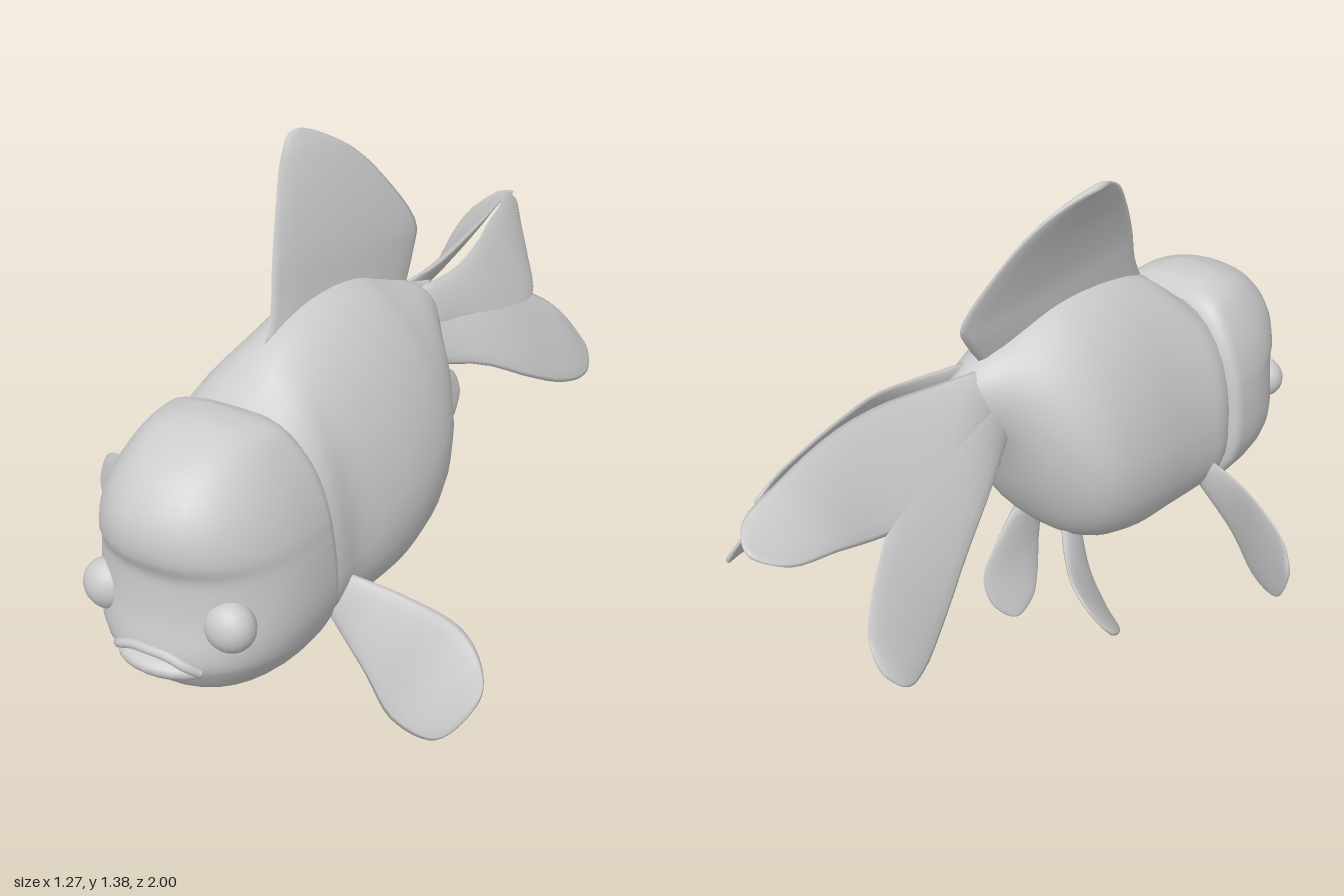
import * as THREE from 'three';

const V = ([x, y, z]) => new THREE.Vector3(x, y, z);
const curve = (pts) => new THREE.CatmullRomCurve3(pts.map(V), false, 'centripetal');
const material = new THREE.MeshStandardMaterial({ color: 0xcccccc });

function mesh(name, geometry) {
  const m = new THREE.Mesh(geometry, material);
  m.name = name;
  return m;
}

// Skin closed rings of equal length, cap both ends, and face everything outwards
function loft(rings) {
  const n = rings[0].length, pts = rings.flat(), index = [];
  for (let i = 0; i < rings.length - 1; i++) {
    for (let j = 0; j < n; j++) {
      const a = i * n + j, b = i * n + (j + 1) % n;
      index.push(a, b, b + n, a, b + n, a + n);
    }
  }
  [0, rings.length - 1].forEach((r, end) => {
    const centre = rings[r].reduce((s, p) => s.add(p), new THREE.Vector3()).divideScalar(n);
    const c = pts.push(centre) - 1;
    for (let j = 0; j < n; j++) {
      const a = r * n + j, b = r * n + (j + 1) % n;
      index.push(c, ...(end ? [a, b] : [b, a]));
    }
  });
  const mid = pts[pts.length - 1];
  let volume = 0;
  for (let i = 0; i < index.length; i += 3) {
    const [a, b, c] = [0, 1, 2].map((k) => pts[index[i + k]].clone().sub(mid));
    volume += a.dot(b.cross(c));
  }
  if (volume < 0) index.reverse();
  const g = new THREE.BufferGeometry().setFromPoints(pts);
  g.setIndex(index);
  g.computeVertexNormals();
  return g;
}

// Thin lens-shaped fin. Both edges run root to tip and join there in one round outline
function fin(name, lead, trail, thick = 0.012, steps = 26, across = 8) {
  const outline = curve([...lead, ...trail.slice(0, -1).reverse()]), rings = [];
  const A = (t) => outline.getPoint(t / 2), B = (t) => outline.getPoint(1 - t / 2);
  const centre = (t) => A(t).add(B(t));
  for (let i = 0; i <= steps; i++) {
    const t = 1 - (1 - i / steps) ** 1.8;
    const a = A(t), b = B(t), ring = [];
    const along = centre(Math.min(1, t + 0.02)).sub(centre(Math.max(0, t - 0.02)));
    const normal = b.clone().sub(a).cross(along).normalize();
    const half = Math.min(thick * (1.6 - t), a.distanceTo(b) * 0.2);
    for (let j = 0; j < across * 2; j++) {
      const angle = (j / across) * Math.PI;
      ring.push(a.clone().lerp(b, 0.5 - 0.5 * Math.cos(angle))
        .addScaledVector(normal, half * Math.sin(angle)));
    }
    rings.push(ring);
  }
  return mesh(name, loft(rings));
}

// Smoothly resample a table of section parameters
function resample(rows, count) {
  const cols = rows[0].map((_, k) => new THREE.SplineCurve(rows.map((r, q) => new THREE.Vector2(q, r[k]))));
  return Array.from({ length: count }, (_, i) => cols.map((c) => c.getPoint(i / (count - 1)).y));
}

const power = (v, n) => Math.sign(v) * Math.abs(v) ** (2 / n);

// Body sections: z, centre x, widest y, half width, top, bottom, roundness of the back
function bodyGeometry() {
  const rows = [
    [0.64, 0.02, 0.45, 0.23, 0.82, 0.23, 2.3], [0.56, 0.02, 0.45, 0.265, 0.87, 0.205, 2.3],
    [0.48, 0.025, 0.46, 0.27, 0.945, 0.2, 1.9], [0.38, 0.04, 0.48, 0.285, 0.995, 0.2, 1.7],
    [0.25, 0.05, 0.51, 0.3, 1.02, 0.21, 1.65], [0.12, 0.055, 0.55, 0.295, 1.015, 0.25, 1.65],
    [0.03, 0.06, 0.6, 0.265, 0.985, 0.33, 1.7], [-0.04, 0.075, 0.68, 0.205, 0.955, 0.46, 1.8],
    [-0.09, 0.09, 0.76, 0.14, 0.935, 0.6, 1.9], [-0.13, 0.1, 0.8, 0.1, 0.915, 0.68, 2],
    [-0.18, 0.105, 0.81, 0.06, 0.895, 0.71, 2], [-0.24, 0.11, 0.82, 0.02, 0.88, 0.76, 2],
  ];
  return loft(resample(rows, 34).map(([z, cx, cy, w, top, bottom, back]) =>
    Array.from({ length: 32 }, (_, j) => {
      const a = (j / 32) * Math.PI * 2, s = Math.sin(a), n = s > 0 ? back : 2.2;
      return V([cx + w * power(Math.cos(a), n), cy + (s > 0 ? top - cy : cy - bottom) * power(s, n), z]);
    })));
}

// Head sections: y, front z, half width, back z
function headGeometry() {
  const rows = [
    [0.204, 0.7, 0.07, 0.57], [0.215, 0.79, 0.125, 0.56], [0.24, 0.86, 0.175, 0.56],
    [0.28, 0.92, 0.222, 0.56], [0.34, 0.96, 0.26, 0.56], [0.375, 0.972, 0.273, 0.56],
    [0.42, 0.968, 0.283, 0.56], [0.48, 0.956, 0.285, 0.56], [0.56, 0.95, 0.278, 0.56],
    [0.6, 0.953, 0.272, 0.56], [0.64, 0.97, 0.265, 0.56], [0.7, 0.97, 0.246, 0.56],
    [0.76, 0.945, 0.218, 0.565], [0.82, 0.89, 0.178, 0.58], [0.86, 0.82, 0.135, 0.605],
    [0.885, 0.74, 0.06, 0.66],
  ];
  return loft(resample(rows, 40).map(([y, front, w, back]) =>
    Array.from({ length: 36 }, (_, j) => {
      const a = (j / 36) * Math.PI * 2, s = Math.sin(a), mid = back + 0.06;
      const n = s > 0 ? 2.3 : 3;
      return V([0.02 + w * power(Math.cos(a), n), y, mid + (s > 0 ? front - mid : 0.06) * power(s, n)]);
    })));
}

export function createModel() {
  const fish = new THREE.Group();
  fish.name = 'goldfish';
  fish.add(mesh('body', bodyGeometry()), mesh('head', headGeometry()));

  // Eyes
  for (const side of [-1, 1]) {
    const eye = mesh(side < 0 ? 'rightEye' : 'leftEye', new THREE.SphereGeometry(0.064, 20, 14));
    eye.position.set(0.022 + side * 0.17, 0.48, 0.895);
    eye.scale.z = 0.85;
    fish.add(eye);
  }

  // Downturned upper lip over a protruding lower jaw
  fish.add(mesh('upperLip', new THREE.TubeGeometry(curve([
    [-0.095, 0.358, 0.94], [-0.07, 0.38, 0.962], [-0.03, 0.398, 0.97], [0.02, 0.403, 0.974],
    [0.07, 0.398, 0.97], [0.11, 0.38, 0.962], [0.135, 0.358, 0.94]]), 28, 0.013, 8)));
  const jaw = mesh('lowerJaw', new THREE.SphereGeometry(1, 24, 16));
  jaw.position.set(0.02, 0.345, 0.9);
  jaw.scale.set(0.13, 0.04, 0.1);
  jaw.rotation.x = -0.2;
  fish.add(jaw);

  // Dorsal fin, leaning to the right
  fish.add(fin('dorsalFin',
    [[0.025, 0.94, 0.47], [0.015, 1.03, 0.42], [0, 1.13, 0.385], [-0.03, 1.25, 0.315], [-0.065, 1.345, 0.23], [-0.085, 1.38, 0.14]],
    [[0.1, 0.88, -0.1], [0.09, 0.99, -0.18], [0.085, 1.05, -0.205], [0.04, 1.18, -0.135], [-0.025, 1.31, -0.02], [-0.085, 1.38, 0.14]], 0.016));

  // Pectoral fins
  fish.add(fin('rightPectoralFin',
    [[-0.2, 0.39, 0.53], [-0.35, 0.42, 0.46], [-0.5, 0.447, 0.37], [-0.6, 0.41, 0.33], [-0.635, 0.32, 0.32]],
    [[-0.18, 0.29, 0.53], [-0.35, 0.21, 0.48], [-0.47, 0.148, 0.42], [-0.59, 0.18, 0.355], [-0.635, 0.32, 0.32]]));
  fish.add(fin('leftPectoralFin',
    [[0.27, 0.42, 0.51], [0.42, 0.365, 0.46], [0.55, 0.3, 0.43], [0.615, 0.23, 0.45], [0.63, 0.15, 0.48]],
    [[0.24, 0.3, 0.54], [0.35, 0.18, 0.56], [0.43, 0.06, 0.56], [0.54, 0.028, 0.54], [0.63, 0.15, 0.48]]));

  // Pelvic fins
  fish.add(fin('rightPelvicFin',
    [[-0.02, 0.32, 0.08], [-0.1, 0.28, 0], [-0.2, 0.27, -0.08], [-0.28, 0.2, -0.08], [-0.308, 0.13, -0.03]],
    [[-0.01, 0.24, 0.17], [-0.1, 0.16, 0.11], [-0.2, 0.1, 0.07], [-0.28, 0.095, 0.03], [-0.308, 0.13, -0.03]]));
  fish.add(fin('leftPelvicFin',
    [[0.13, 0.32, 0.04], [0.12, 0.25, -0.05], [0.11, 0.17, -0.12], [0.08, 0.08, -0.12], [0.045, 0.003, -0.05]],
    [[0.14, 0.26, 0.17], [0.115, 0.16, 0.13], [0.08, 0.08, 0.085], [0.05, 0.025, 0.03], [0.045, 0.003, -0.05]]));

  // Paired anal fins
  for (const side of [-1, 1]) {
    const x = (d) => 0.115 + side * d;
    fish.add(fin(side < 0 ? 'rightAnalFin' : 'leftAnalFin',
      [[x(0.03), 0.64, -0.05], [x(0.035), 0.613, -0.15], [x(0.04), 0.612, -0.24], [x(0.05), 0.585, -0.3], [x(0.06), 0.52, -0.318]],
      [[x(0.03), 0.57, -0.04], [x(0.045), 0.54, -0.14], [x(0.055), 0.475, -0.2], [x(0.065), 0.45, -0.27], [x(0.06), 0.52, -0.318]], 0.01));
  }

  // Twin tail: each half has two lobes that overlap as one web up to the fork
  const tail = (side, upper, middle, upperInner, lowerInner, lower) => {
    const spread = (edge) => middle.map((p, i) =>
      V(p).lerp(V(edge[i]), 0.3 * Math.min(1, middle.length - 1 - i)).toArray());
    fish.add(fin(side + 'TailUpperLobe', upper, [...spread(lower), ...upperInner]));
    fish.add(fin(side + 'TailLowerLobe', [...spread(upper), ...lowerInner], lower));
  };
  tail('left',
    [[0.13, 0.9, -0.12], [0.165, 0.91, -0.28], [0.165, 0.935, -0.42], [0.14, 0.945, -0.55], [0.11, 0.945, -0.7], [0.075, 0.94, -0.84], [0.08, 0.9, -0.89]],
    [[0.16, 0.8, -0.12], [0.21, 0.78, -0.3], [0.25, 0.75, -0.45], [0.27, 0.73, -0.61]],
    [[0.2, 0.78, -0.73], [0.13, 0.84, -0.83], [0.08, 0.9, -0.89]],
    [[0.305, 0.67, -0.69], [0.335, 0.58, -0.775], [0.38, 0.5, -0.795]],
    [[0.18, 0.7, -0.09], [0.28, 0.66, -0.24], [0.355, 0.58, -0.38], [0.4, 0.505, -0.53], [0.42, 0.467, -0.66], [0.415, 0.468, -0.74], [0.38, 0.5, -0.795]]);
  tail('right',
    [[0.08, 0.9, -0.12], [0.11, 0.91, -0.28], [0.12, 0.935, -0.45], [0.11, 0.945, -0.62], [0.075, 0.93, -0.82], [0.045, 0.9, -0.96], [-0.02, 0.87, -1]],
    [[0.05, 0.8, -0.12], [0, 0.78, -0.3], [-0.04, 0.75, -0.48], [-0.07, 0.73, -0.64]],
    [[-0.085, 0.79, -0.8], [-0.08, 0.83, -0.94], [-0.02, 0.87, -1]],
    [[-0.15, 0.66, -0.77], [-0.2, 0.61, -0.83], [-0.25, 0.53, -0.835]],
    [[0.03, 0.7, -0.09], [-0.06, 0.66, -0.25], [-0.13, 0.58, -0.42], [-0.2, 0.5, -0.58], [-0.265, 0.47, -0.72], [-0.283, 0.48, -0.79], [-0.25, 0.53, -0.835]]);

  return fish;
}
